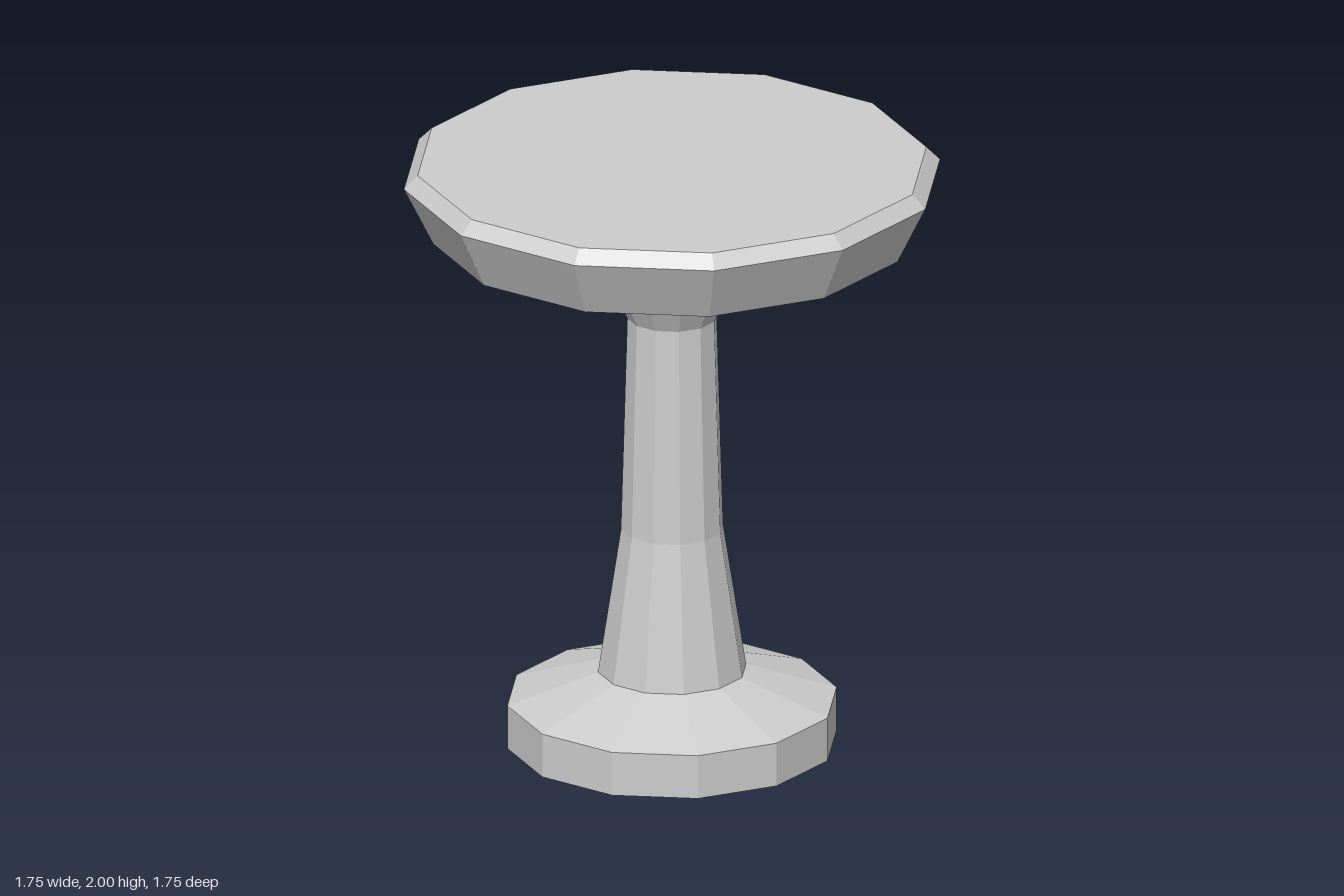
import * as THREE from 'three';

const SIDES = 12;

export function createModel() {
  const group = new THREE.Group();
  group.name = 'pedestalTable';
  const grey = new THREE.MeshStandardMaterial({ color: 0xcccccc, flatShading: true });
  grey.name = 'stone grey';

  // Profiles run upwards as [radius, height]; neighbouring parts share a ring.
  const addTurned = (name, profile) => {
    const points = profile.map(([r, y]) => new THREE.Vector2(r, y));
    const mesh = new THREE.Mesh(new THREE.LatheGeometry(points, SIDES), grey);
    mesh.name = name;
    group.add(mesh);
  };

  // Round foot with a sloping upper face
  addTurned('base', [[0, 0], [0.538, 0], [0.538, 0.148], [0.242, 0.247]]);

  // Tapered column flaring out under the top
  addTurned('column', [[0.242, 0.247], [0.167, 0.735], [0.146, 1.465], [0.217, 1.612]]);

  // Dished table top with a bevelled rim
  addTurned('tableTop', [[0.217, 1.612], [0.78, 1.76], [0.876, 1.955], [0.831, 2], [0, 2]]);

  return group;
}
